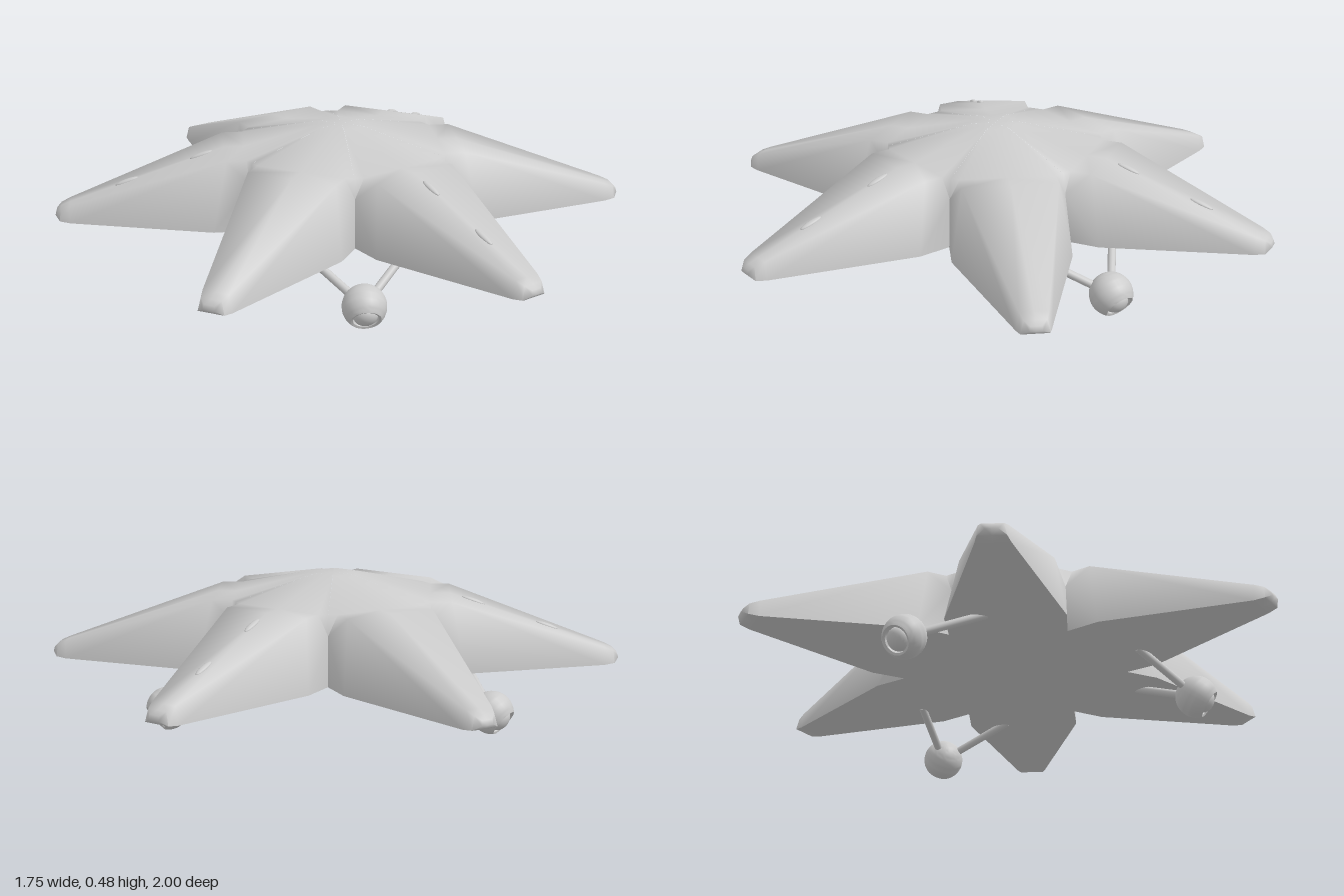
import * as THREE from 'three';
import { toCreasedNormals } from 'three/addons/utils/BufferGeometryUtils.js';

const material = new THREE.MeshStandardMaterial({ color: 0xcccccc });

function addMesh(parent, name, geometry) {
  const mesh = new THREE.Mesh(geometry, material);
  mesh.name = name;
  parent.add(mesh);
  return mesh;
}

// Six-armed hull: half an arm is described, then mirrored and turned
function hullGeometry() {
  const positions = [];
  const up = new THREE.Vector3(0, 1, 0);
  const p = (x, y, z) => new THREE.Vector3(x, y, z);
  const mid = (v) => p(0, v.y, v.z);

  const half = [];
  const tri = (a, b, c) => half.push([a, b, c]);
  const quad = (a, b, c, d) => { tri(a, b, c); tri(a, c, d); };

  // Central dome and the valley beside the arm
  const crown = p(0.04, 0.49, 0.07);
  const rootTop = p(0.16, 0.42, 0.34);
  const rootBottom = p(0.197, 0.18, 0.341);
  const valley = p(0.193, 0.35, 0.334);
  const valleyRim = p(0.187, 0.42, 0.324);
  tri(p(0, 0.49, 0), mid(crown), crown);
  quad(mid(crown), mid(rootTop), rootTop, crown);
  tri(crown, rootTop, valleyRim);
  tri(rootTop, valley, valleyRim);
  tri(p(0, 0.18, 0), rootBottom, mid(rootBottom));

  // Arm sections from shoulder to rounded tip: bottom corner, top corner
  const sections = [
    [rootBottom, rootTop],
    [p(0.2, 0.18, 0.46), p(0.16, 0.42, 0.41)],
    [p(0.055, 0.18, 0.95), p(0.045, 0.24, 0.95)],
    [p(0.045, 0.185, 0.985), p(0.035, 0.228, 0.98)],
    [p(0.02, 0.2, 1), p(0.018, 0.215, 0.995)],
  ];
  for (let i = 0; i < sections.length - 1; i++) {
    const [b0, t0] = sections[i];
    const [b1, t1] = sections[i + 1];
    if (i === 0) {
      quad(b1, b0, valley, t1);
      tri(t1, valley, t0);
    } else {
      quad(b1, b0, t0, t1);
    }
    quad(mid(t0), mid(t1), t1, t0);
    quad(mid(b0), b0, b1, mid(b1));
  }
  const [endBottom, endTop] = sections[sections.length - 1];
  quad(mid(endBottom), endBottom, endTop, mid(endTop));

  for (let k = 0; k < 6; k++) {
    const put = (v, side) => {
      const q = p(v.x * side, v.y, v.z).applyAxisAngle(up, k * Math.PI / 3);
      positions.push(q.x, q.y, q.z);
    };
    for (const [a, b, c] of half) {
      [a, b, c].forEach((v) => put(v, 1));
      [a, c, b].forEach((v) => put(v, -1));
    }
  }
  const geometry = new THREE.BufferGeometry();
  geometry.setAttribute('position', new THREE.Float32BufferAttribute(positions, 3));
  return toCreasedNormals(geometry, 1.45);
}

// Round strut between two points
function addStrut(parent, from, to, radius) {
  const dir = to.clone().sub(from);
  const strut = addMesh(parent, 'strut', new THREE.CylinderGeometry(radius, radius, dir.length(), 12));
  strut.position.copy(from).addScaledVector(dir, 0.5);
  strut.quaternion.setFromUnitVectors(new THREE.Vector3(0, 1, 0), dir.normalize());
}

// Landing leg pointing along +z: two struts, a ball and a recessed lens
function makeLeg() {
  const leg = new THREE.Group();
  leg.name = 'landingLeg';
  const centre = new THREE.Vector3(0, 0.078, 0.63);
  for (const side of [-1, 1]) {
    addStrut(leg, centre, new THREE.Vector3(side * 0.175, 0.19, 0.43), 0.014);
  }
  const foot = new THREE.Group();
  foot.name = 'foot';
  foot.position.copy(centre);
  foot.rotation.x = Math.PI / 2 + 0.6;
  leg.add(foot);

  // Open ball whose lip turns inward, the opening facing out and down
  const profile = [];
  for (let i = 0; i <= 20; i++) {
    const a = Math.PI - (i / 20) * (Math.PI - 0.75);
    profile.push(new THREE.Vector2(Math.max(0, 0.073 * Math.sin(a)), 0.073 * Math.cos(a)));
  }
  profile.push(new THREE.Vector2(0.042, 0.05), new THREE.Vector2(0.04, 0.035), new THREE.Vector2(0, 0.035));
  addMesh(foot, 'footBall', toCreasedNormals(new THREE.LatheGeometry(profile, 28), 0.6));
  const lens = addMesh(foot, 'footLens', new THREE.SphereGeometry(0.04, 24, 14));
  lens.position.y = 0.035;
  lens.scale.y = 0.75;
  return leg;
}

export function createModel() {
  const model = new THREE.Group();
  model.name = 'starCraft';
  addMesh(model, 'hull', hullGeometry());

  for (let k = 0; k < 3; k++) {
    const turn = k * Math.PI * 2 / 3;

    // Two small oval lights on every other arm
    const lights = new THREE.Group();
    lights.name = 'armLights';
    lights.rotation.y = turn;
    for (const r of [0.49, 0.75]) {
      const light = addMesh(lights, 'ovalLight', new THREE.SphereGeometry(1, 16, 10));
      light.scale.set(0.012, 0.008, 0.042);
      light.position.set(0, 0.42 - (r - 0.41) / 3, r);
      light.rotation.x = Math.atan(1 / 3);
    }
    model.add(lights);

    // Legs stand in every other gap between arms
    const leg = makeLeg();
    leg.rotation.y = turn + Math.PI / 2;
    model.add(leg);
  }
  return model;
}
